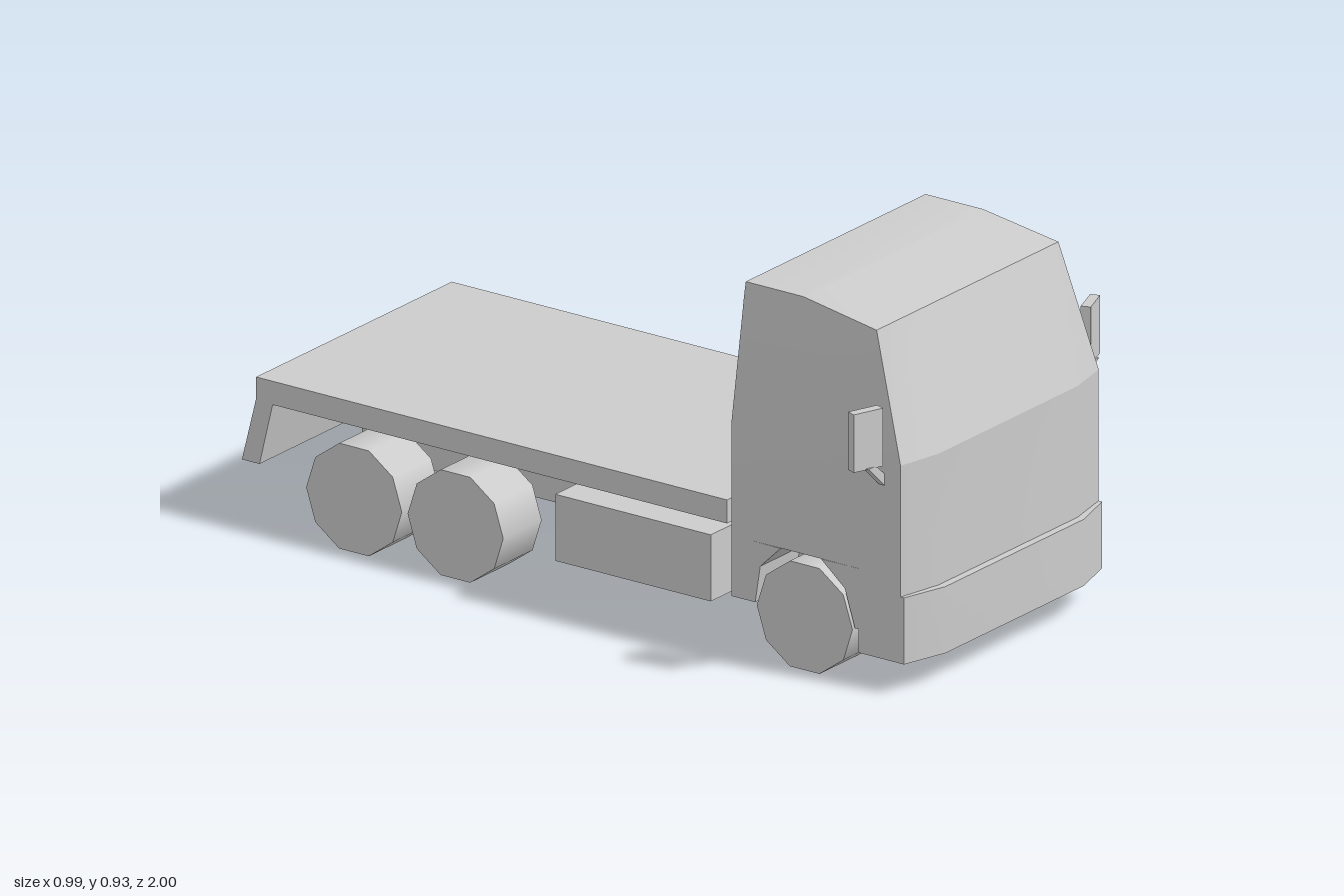
import * as THREE from 'three';
import { toCreasedNormals } from 'three/addons/utils/BufferGeometryUtils.js';

const material = new THREE.MeshStandardMaterial({ color: 0xcccccc });

function add(parent, name, geometry) {
  const mesh = new THREE.Mesh(geometry, material);
  mesh.name = name;
  parent.add(mesh);
  return mesh;
}

// Box given by its limits on each axis
function block(x0, x1, y0, y1, z0, z1) {
  return new THREE.BoxGeometry(x1 - x0, y1 - y0, z1 - z0)
    .translate((x0 + x1) / 2, (y0 + y1) / 2, (z0 + z1) / 2);
}

function extrude(points, depth) {
  const shape = new THREE.Shape(points.map(([a, b]) => new THREE.Vector2(a, b)));
  return new THREE.ExtrudeGeometry(shape, { depth, bevelEnabled: false });
}

// Outline in [x, z], raised from y0 to y1
function planExtrude(points, y0, y1) {
  const geometry = extrude(points.map(([x, z]) => [x, -z]), y1 - y0)
    .rotateX(-Math.PI / 2).translate(0, y0, 0);
  return toCreasedNormals(geometry, 0.35);
}

// Outline in [z, y], spanning x0 to x1
function sideExtrude(points, x0, x1) {
  return extrude(points, x1 - x0).rotateY(-Math.PI / 2).translate(x1, 0, 0);
}

// Closed loft through horizontal rings of [x, y, z] points
function loft(rings) {
  const out = [];
  const n = rings[0].length;
  const tri = (...corners) => corners.forEach((p) => out.push(...p));
  for (let r = 0; r < rings.length - 1; r++) {
    for (let i = 0; i < n; i++) {
      const j = (i + 1) % n;
      const [low, high] = [rings[r], rings[r + 1]];
      tri(low[i], low[j], high[j]);
      tri(low[i], high[j], high[i]);
    }
  }
  const top = rings[rings.length - 1];
  for (let i = 1; i < n - 1; i++) {
    tri(top[0], top[i], top[i + 1]);
    tri(rings[0][0], rings[0][i + 1], rings[0][i]);
  }
  const geometry = new THREE.BufferGeometry();
  geometry.setAttribute('position', new THREE.Float32BufferAttribute(out, 3));
  return toCreasedNormals(geometry, 0.3);
}

function cabRing(y, half, mid, corner, front, back) {
  return [
    [-half, y, corner], [-mid, y, front], [mid, y, front],
    [half, y, corner], [half, y, back], [-half, y, back],
  ];
}

function buildCab() {
  const cab = new THREE.Group();
  cab.name = 'cab';

  // Upper shell: doors, windscreen and roof
  add(cab, 'cabShell', loft([
    cabRing(0.295, 0.4, 0.28, 0.955, 0.98, 0.455),
    cabRing(0.585, 0.4, 0.28, 0.955, 0.98, 0.455),
    cabRing(0.9, 0.367, 0.26, 0.86, 0.86, 0.468),
    cabRing(0.935, 0.363, 0.25, 0.64, 0.64, 0.47),
  ]));

  // Lower body, notched at both sides for the front wheels
  add(cab, 'cabBase', planExtrude([
    [-0.4, 0.955], [-0.28, 0.98], [0.28, 0.98], [0.4, 0.955],
    [0.4, 0.83], [0.24, 0.83], [0.24, 0.51], [0.4, 0.51],
    [0.4, 0.455], [-0.4, 0.455], [-0.4, 0.51], [-0.24, 0.51],
    [-0.24, 0.83], [-0.4, 0.83],
  ], 0.14, 0.295));

  // Corner fillers that turn the notches into wheel arches
  const archCorners = [
    [[0.51, 0.14], [0.525, 0.14], [0.54, 0.235], [0.6, 0.294], [0.51, 0.295]],
    [[0.83, 0.14], [0.83, 0.295], [0.72, 0.294], [0.79, 0.235], [0.82, 0.14]],
  ];
  for (const [x0, x1] of [[0.24, 0.4], [-0.4, -0.24]]) {
    for (const corner of archCorners) add(cab, 'wheelArch', sideExtrude(corner, x0, x1));
  }

  add(cab, 'bumper', planExtrude([
    [-0.4, 0.83], [-0.4, 0.965], [-0.28, 1], [0.28, 1], [0.4, 0.965], [0.4, 0.83],
  ], 0.08, 0.25));

  // Angled mirrors on short sloping arms
  for (const side of [-1, 1]) {
    const mirror = add(cab, 'mirror', new THREE.BoxGeometry(0.083, 0.148, 0.025));
    mirror.position.set(side * 0.454, 0.656, 0.891);
    mirror.rotation.y = side * 0.36;
    const arm = [[0.39, 0.515], [0.465, 0.585], [0.435, 0.585], [0.39, 0.545]]
      .map(([x, y]) => [side * x, y]);
    add(cab, 'mirrorArm', extrude(arm, 0.018).translate(0, 0, 0.89));
  }
  return cab;
}

export function createModel() {
  const truck = new THREE.Group();
  truck.name = 'flatbedTruck';
  truck.add(buildCab());

  // Flat bed and the sloping panel at its tail
  add(truck, 'bed', block(-0.395, 0.395, 0.32, 0.38, -0.955, 0.438));
  add(truck, 'tailPanel', sideExtrude([
    [-0.955, 0.325], [-0.997, 0.16], [-0.945, 0.16], [-0.905, 0.325],
  ], -0.395, 0.395));

  // Chassis rails, side boxes and wheels, mirrored left and right
  const wheelGeometry = new THREE.CylinderGeometry(0.1415, 0.1415, 0.155, 10).rotateZ(Math.PI / 2);
  for (const side of [-1, 1]) {
    const rail = add(truck, 'chassisRail', block(-0.02, 0.02, 0.16, 0.33, -0.795, 0.46));
    rail.position.x = side * 0.165;
    const box = add(truck, 'sideBox', block(-0.085, 0.085, 0.11, 0.28, -0.07, 0.39));
    box.position.x = side * 0.31;
    for (const [name, z] of [['frontWheel', 0.672], ['rearWheel', -0.361], ['rearWheel', -0.661]]) {
      const wheel = add(truck, name, wheelGeometry);
      wheel.position.set(side * 0.3235, 0.1346, z);
    }
  }
  return truck;
}
